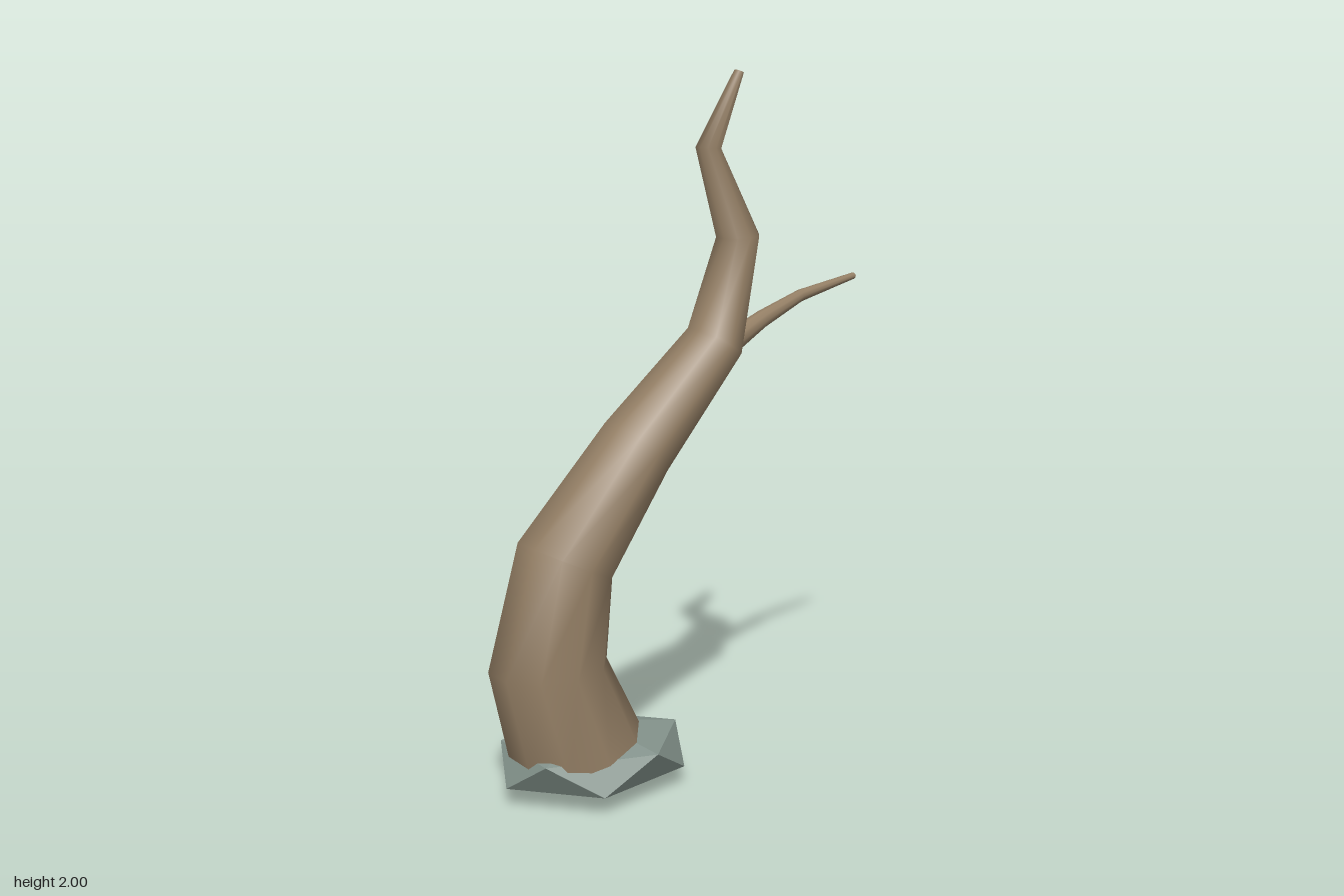
import * as THREE from 'three';
import { ConvexGeometry } from 'three/addons/geometries/ConvexGeometry.js';

const SIDES = 10;

// Smooth skin over rings { c: centre, u, v: half-axes }, with flat end caps
function loft(rings) {
  const pos = [], idx = [];
  const addRing = ({ c, u, v }) => {
    const start = pos.length / 3;
    for (let j = 0; j < SIDES; j++) {
      const a = ((j + 0.5) / SIDES) * Math.PI * 2;
      pos.push(...c.clone().addScaledVector(u, Math.cos(a)).addScaledVector(v, Math.sin(a)).toArray());
    }
    return start;
  };
  rings.forEach(addRing);
  for (let i = 0; i < rings.length - 1; i++) {
    for (let j = 0; j < SIDES; j++) {
      const a = i * SIDES + j, b = i * SIDES + ((j + 1) % SIDES);
      idx.push(a, a + SIDES, b, b, a + SIDES, b + SIDES);
    }
  }
  const bottom = addRing(rings[0]);
  const top = addRing(rings[rings.length - 1]);
  for (let j = 1; j < SIDES - 1; j++) {
    idx.push(bottom, bottom + j, bottom + j + 1);
    idx.push(top, top + j + 1, top + j);
  }
  const geo = new THREE.BufferGeometry();
  geo.setAttribute('position', new THREE.Float32BufferAttribute(pos, 3));
  geo.setIndex(idx);
  geo.computeVertexNormals();
  return geo;
}

// Trunk rings: left x, left y, right x, right y, half depth
function trunkGeometry() {
  const sections = [
    [-0.61, 0.08, -0.265, 0.19, 0.19],
    [-0.68, 0.38, -0.365, 0.395, 0.17],
    [-0.585, 0.735, -0.34, 0.62, 0.147],
    [-0.31, 1.04, -0.15, 0.9, 0.118],
    [-0.04, 1.285, 0.1, 1.2, 0.092],
    [0.05, 1.535, 0.17, 1.54, 0.065],
    [-0.025, 1.79, 0.045, 1.785, 0.039],
    [0.1, 2.0, 0.125, 1.99, 0.015],
  ];
  const k = 0.5 / Math.cos(Math.PI / SIDES);
  return loft(sections.map(([lx, ly, rx, ry, d]) => ({
    c: new THREE.Vector3((lx + rx) / 2, (ly + ry) / 2, 0),
    u: new THREE.Vector3((rx - lx) * k, (ry - ly) * k, 0),
    v: new THREE.Vector3(0, 0, d),
  })));
}

// Side branch rings: centre x, y, z and radius
function branchGeometry() {
  const path = [
    [0.085, 1.217, -0.03, 0.036],
    [0.25, 1.28, -0.08, 0.026],
    [0.43, 1.331, -0.135, 0.018],
    [0.672, 1.37, -0.187, 0.01],
  ];
  const pts = path.map((p) => new THREE.Vector3(p[0], p[1], p[2]));
  return loft(pts.map((c, i) => {
    const d = pts[Math.min(i + 1, pts.length - 1)].clone().sub(pts[Math.max(i - 1, 0)]).normalize();
    const v = new THREE.Vector3(-d.z, 0, d.x).normalize();
    const u = d.clone().cross(v);
    return { c, u: u.multiplyScalar(path[i][3]), v: v.multiplyScalar(path[i][3]) };
  }));
}

// Squashed icosahedron standing on one of its points
function rockGeometry() {
  const pts = [new THREE.Vector3(0, 0.1, 0), new THREE.Vector3(0, -0.1, 0)];
  for (let i = 0; i < 5; i++) {
    const a = (i / 5) * Math.PI * 2;
    const p = new THREE.Vector3(Math.cos(a) * 0.277, 0.045, Math.sin(a) * 0.221);
    pts.push(p, p.clone().negate());
  }
  return new ConvexGeometry(pts);
}

export function createModel() {
  const bark = new THREE.MeshStandardMaterial({ color: 0x947f65 });
  bark.name = 'bark';
  const stone = new THREE.MeshStandardMaterial({ color: 0x84938c });
  stone.name = 'stone';
  stone.flatShading = true;

  const group = new THREE.Group();
  group.name = 'deadTree';
  const add = (name, geo, mat) => {
    const mesh = new THREE.Mesh(geo, mat);
    mesh.name = name;
    group.add(mesh);
    return mesh;
  };
  add('trunk', trunkGeometry(), bark);
  add('sideBranch', branchGeometry(), bark);
  add('baseRock', rockGeometry(), stone).position.set(-0.382, 0.1, 0);
  return group;
}
